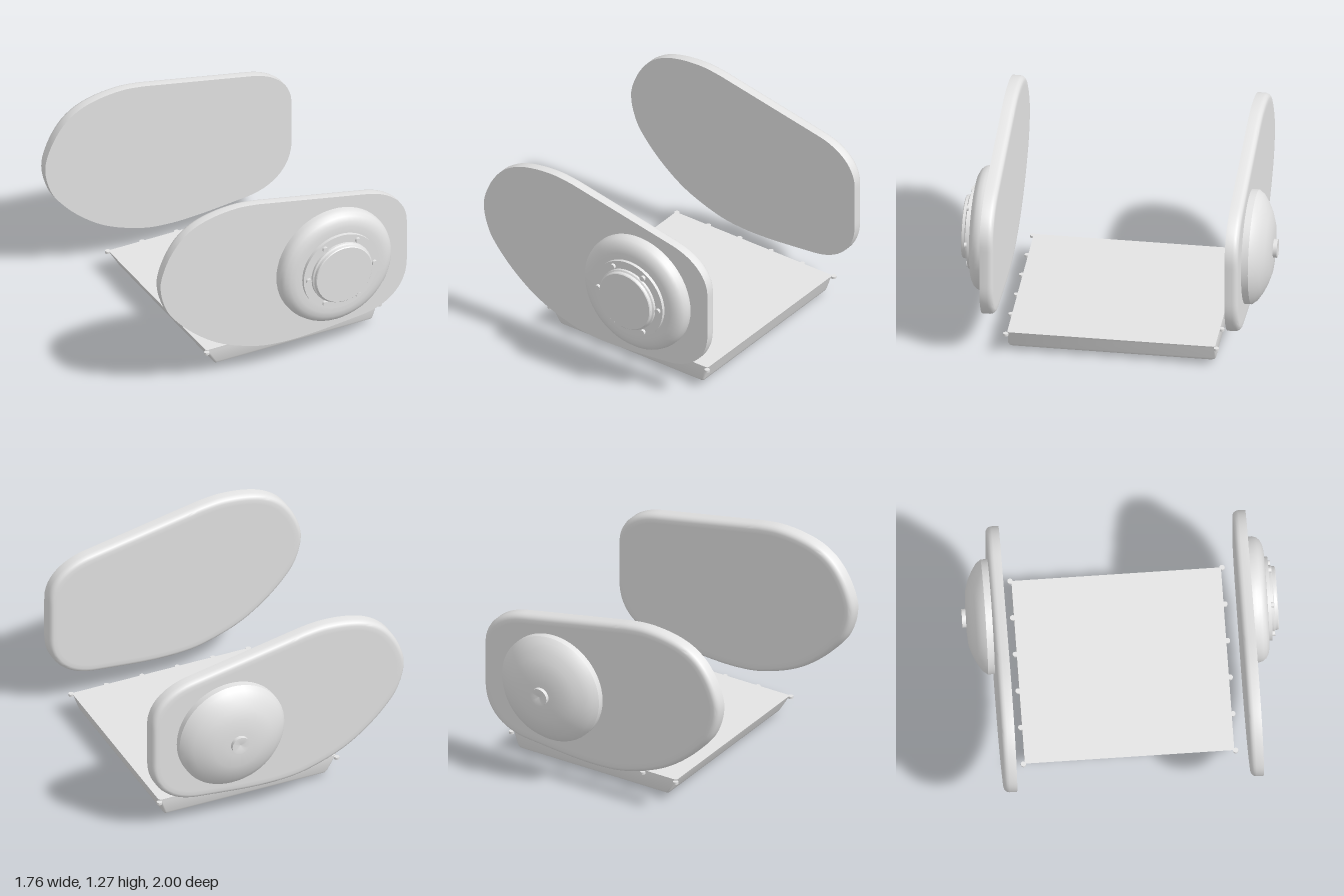
import * as THREE from 'three';
import { toCreasedNormals } from 'three/addons/utils/BufferGeometryUtils.js';

const metal = new THREE.MeshStandardMaterial({ color: 0xe3e3e3 });
metal.name = 'light grey metal';

function add(parent, name, geometry, x = 0, y = 0, z = 0) {
  const mesh = new THREE.Mesh(geometry, metal);
  mesh.name = name;
  mesh.position.set(x, y, z);
  parent.add(mesh);
  return mesh;
}

// Solid through convex counter-clockwise loops stacked along +z, closed at both ends
function loft(loops) {
  const n = loops[0].length, pos = [], index = [];
  for (const loop of loops) for (const p of loop) pos.push(p.x, p.y, p.z);
  for (let k = 0; k < loops.length - 1; k++) {
    for (let i = 0; i < n; i++) {
      const a = k * n + i, b = k * n + (i + 1) % n;
      index.push(a, b, b + n, a, b + n, a + n);
    }
  }
  for (const end of [0, loops.length - 1]) {
    const c = new THREE.Vector3();
    loops[end].forEach((p) => c.addScaledVector(p, 1 / n));
    const centre = pos.length / 3;
    pos.push(c.x, c.y, c.z);
    for (let i = 0; i < n; i++) {
      const a = end * n + i, b = end * n + (i + 1) % n;
      if (end) index.push(centre, a, b);
      else index.push(centre, b, a);
    }
  }
  const geo = new THREE.BufferGeometry();
  geo.setAttribute('position', new THREE.Float32BufferAttribute(pos, 3));
  geo.setIndex(index);
  return toCreasedNormals(geo, 0.65);
}

// Turned part whose axis points along +z, from [radius, z] pairs
function turned(profile, segments = 56) {
  const geo = new THREE.LatheGeometry(profile.map(([r, z]) => new THREE.Vector2(r, z)), segments);
  return toCreasedNormals(geo.rotateX(Math.PI / 2), 0.6);
}

// Egg-shaped outline shared by both covers
function coverOutline() {
  const s = new THREE.Shape();
  s.moveTo(0.88, 0.53);
  s.lineTo(0.88, 0.82);
  s.bezierCurveTo(0.88, 0.96, 0.77, 1.065, 0.6, 1.1);
  s.lineTo(-0.18, 1.255);
  s.splineThru([
    [-0.32, 1.27], [-0.48, 1.258], [-0.62, 1.22], [-0.73, 1.15], [-0.81, 1.05],
    [-0.865, 0.93], [-0.882, 0.83], [-0.86, 0.71], [-0.8, 0.59], [-0.65, 0.43],
    [-0.45, 0.29], [-0.2, 0.197], [0, 0.17], [0.2, 0.173], [0.4, 0.19],
  ].map(([x, y]) => new THREE.Vector2(x, y)));
  s.lineTo(0.57, 0.207);
  s.bezierCurveTo(0.78, 0.235, 0.88, 0.37, 0.88, 0.53);
  return s.getSpacedPoints(140).slice(0, -1);
}

// Plate with a rounded rim on its back and a sharp edge on its front
function coverPlate() {
  const outline = coverOutline(), n = outline.length;
  const rim = [[0.06, 0], [0.032, 0], [0.021, 0.003], [0.012, 0.009], [0.004, 0.02], [0, 0.035], [0, 0.083]];
  return loft(rim.map(([inset, z]) => outline.map((p, i) => {
    const t = outline[(i + 1) % n].clone().sub(outline[(i + n - 1) % n]).normalize();
    return new THREE.Vector3(p.x - t.y * inset, p.y + t.x * inset, z);
  })));
}

// Rounded rectangle loop for the pan
function panLoop(x0, x1, z0, z1, y, r = 0.015) {
  const corners = [[x1 - r, -z0 - r], [x0 + r, -z0 - r], [x0 + r, -z1 + r], [x1 - r, -z1 + r]];
  const loop = [];
  corners.forEach(([cx, cy], q) => {
    for (let i = 0; i <= 4; i++) {
      const a = (q + i / 4) * Math.PI / 2;
      loop.push(new THREE.Vector3(cx + r * Math.cos(a), cy + r * Math.sin(a), y));
    }
  });
  return loop;
}

export function createModel() {
  const model = new THREE.Group();
  model.name = 'engineCovers';
  const plate = coverPlate();
  const hubX = 0.347, hubY = 0.662;

  // Front cover with its stepped round housing
  const front = new THREE.Group();
  front.name = 'frontCover';
  model.add(front);
  add(front, 'frontPlate', plate, 0, 0, 0.752);
  add(front, 'frontHousing', turned([
    [0, 0], [0.4, 0], [0.4, 0.035], [0.392, 0.062], [0.375, 0.082],
    [0.345, 0.098], [0.31, 0.104], [0.27, 0.104], [0, 0.104],
  ]), hubX, hubY, 0.829);
  add(front, 'clampRing', turned([[0, 0], [0.267, 0], [0.267, 0.025], [0, 0.025]]), hubX, hubY, 0.93);
  add(front, 'roundCap', turned([
    [0, 0], [0.212, 0], [0.212, 0.018], [0.203, 0.024], [0.201, 0.042], [0.196, 0.047], [0, 0.047],
  ]), hubX, hubY, 0.953);
  for (let i = 0; i < 6; i++) {
    const a = i * Math.PI / 3;
    add(front, 'capBolt', turned([[0, 0], [0.018, 0], [0.018, 0.02], [0, 0.02]], 14),
      hubX + 0.235 * Math.cos(a), hubY + 0.235 * Math.sin(a), 0.953);
  }

  // Back cover with its dome, built facing +z and turned round
  const back = new THREE.Group();
  back.name = 'backCover';
  model.add(back);
  add(back, 'backPlate', plate, 0, 0, -0.815);
  add(back, 'backDome', turned([
    [0, 0], [0.365, 0], [0.365, 0.045], [0.34, 0.077], [0.295, 0.107],
    [0.24, 0.134], [0.175, 0.155], [0.09, 0.161], [0, 0.163],
  ]), hubX, hubY, -0.813).rotation.y = Math.PI;
  add(back, 'domePlug', turned([
    [0, 0], [0.06, 0], [0.06, 0.03], [0.026, 0.03], [0, 0.02],
  ], 32), hubX, hubY, -0.97).rotation.y = Math.PI;

  // Shallow pan with sloping ends
  const pan = new THREE.Group();
  pan.name = 'pan';
  model.add(pan);
  const z0 = -0.656, z1 = 0.674;
  const body = loft([
    panLoop(-0.35, 0.67, z0 + 0.06, z1 - 0.06, 0.03),
    panLoop(-0.398, 0.715, z0 + 0.02, z1 - 0.02, 0.03),
    panLoop(-0.405, 0.72, z0 + 0.007, z1 - 0.007, 0.036),
    panLoop(-0.412, 0.725, z0, z1, 0.05),
    panLoop(-0.463, 0.754, z0, z1, 0.133),
    panLoop(-0.472, 0.762, z0, z1, 0.152),
  ]);
  add(pan, 'panBody', body.rotateX(-Math.PI / 2));

  // Row of studs along each long rim
  for (const z of [z0 - 0.009, z1 + 0.008]) {
    for (let i = 0; i < 6; i++) {
      add(pan, 'rimStud', new THREE.CylinderGeometry(0.017, 0.017, 0.016, 16), -0.471 + i * 0.247, 0.138, z);
    }
  }

  // Hexagonal drain bolt underneath
  const hex = new THREE.CylinderGeometry(0.037, 0.037, 0.036, 6, 1, false, Math.PI / 2);
  add(pan, 'drainBolt', toCreasedNormals(hex, 0.5), 0.146, 0.018, 0.01);
  return model;
}
